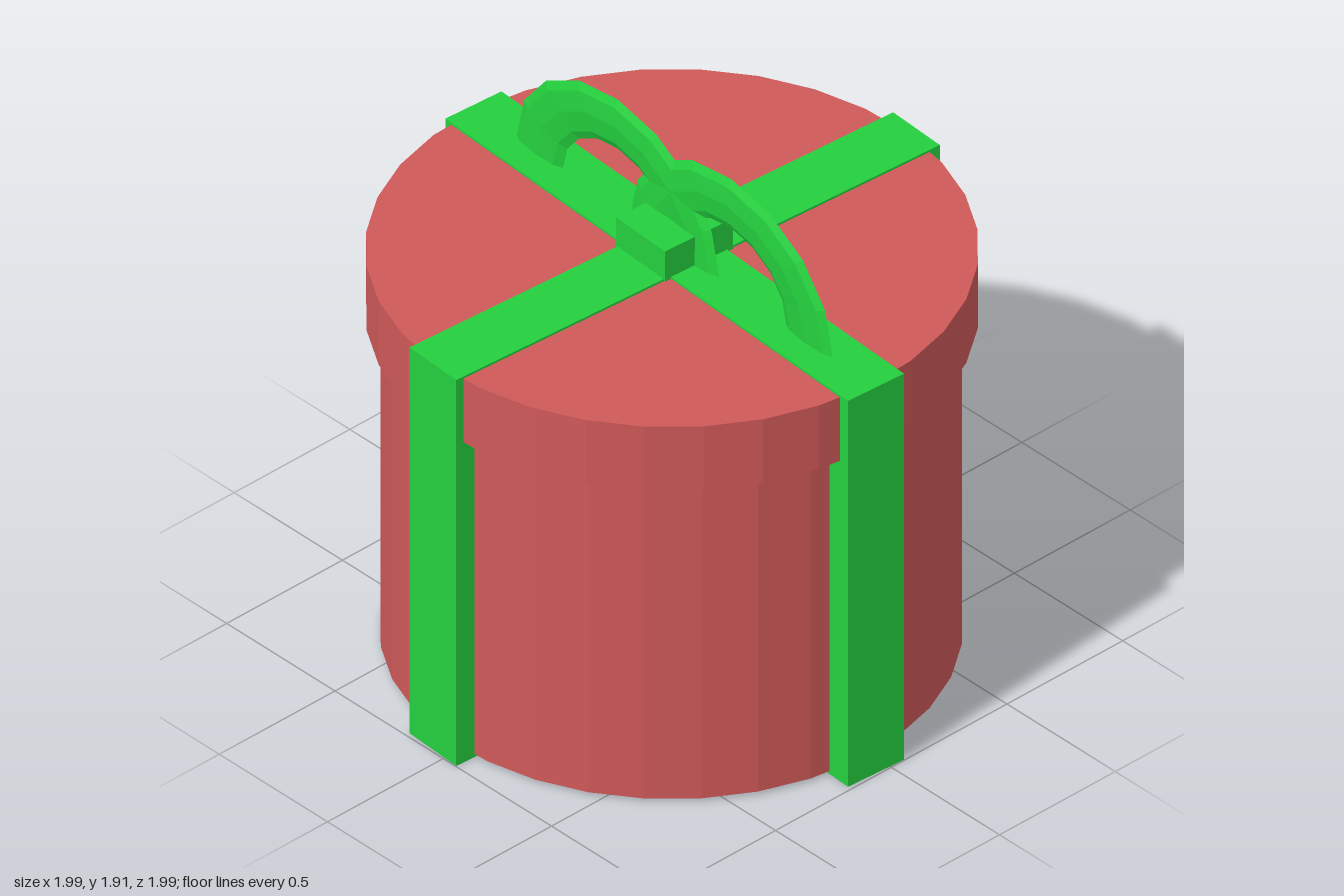
import * as THREE from 'three';

export function createModel() {
  const red = new THREE.MeshStandardMaterial({ color: 0xd05959, flatShading: true });
  red.name = 'red card';
  const green = new THREE.MeshStandardMaterial({ color: 0x24d03e, flatShading: true, side: THREE.DoubleSide });
  green.name = 'green ribbon';

  const model = new THREE.Group();
  model.name = 'giftBox';
  const add = (name, geometry, material, x, y, z) => {
    const mesh = new THREE.Mesh(geometry, material);
    mesh.name = name;
    mesh.position.set(x, y, z);
    model.add(mesh);
    return mesh;
  };
  const drum = (name, radius, bottom, top, offset) =>
    add(name, new THREE.CylinderGeometry(radius, radius, top - bottom, 32), red, -offset, (bottom + top) / 2, offset);

  // Round box and its overhanging lid
  drum('boxBody', 0.921, 0.012, 1.3, 0.008);
  drum('lid', 0.969, 1.245, 1.492, 0.006);

  // Two ribbons wrapped all the way round, crossing at top and bottom
  add('ribbonAcross', new THREE.BoxGeometry(1.985, 1.5, 0.23), green, 0, 0.75, 0);
  add('ribbonFrontToBack', new THREE.BoxGeometry(0.23, 1.5, 1.985), green, 0, 0.75, 0);

  // Knot
  add('bowKnot', new THREE.BoxGeometry(0.24, 0.12, 0.28), green, 0, 1.55, 0);

  // Bow: two flattened half rings that overlap at the knot
  for (const side of [-1, 1]) {
    const loop = add(side > 0 ? 'bowLoopLeft' : 'bowLoopRight',
      new THREE.TorusGeometry(0.385, 0.115, 8, 8, Math.PI), green, side * 0.28, 1.5, 0);
    loop.scale.set(1, 0.83, 0.17);
  }

  // The whole box is turned slightly
  model.rotation.y = -0.058;
  const root = new THREE.Group();
  root.name = 'gift';
  root.add(model);
  return root;
}
